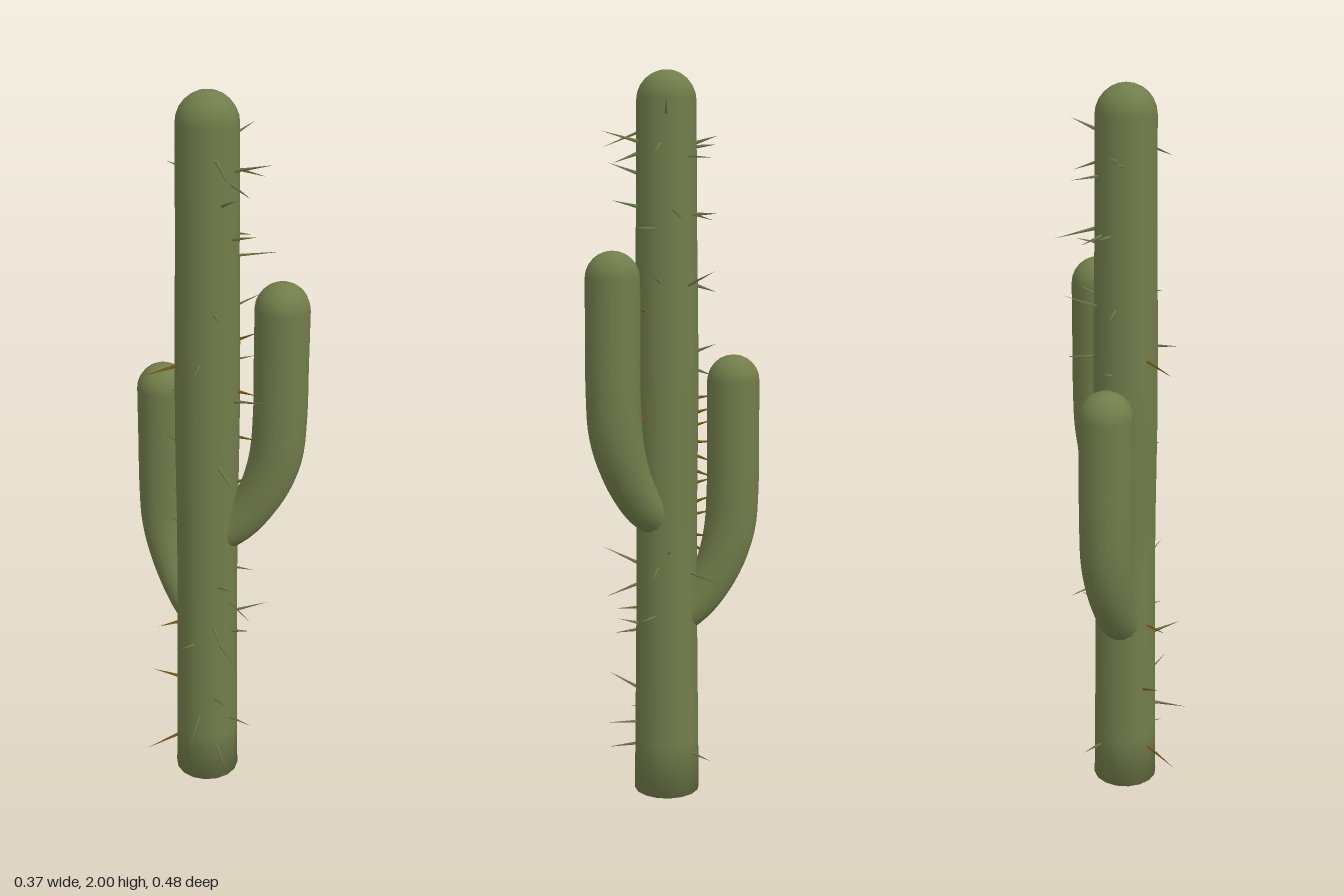
import * as THREE from 'three';
import { mergeGeometries } from 'three/addons/utils/BufferGeometryUtils.js';

const skin = new THREE.MeshStandardMaterial({ color: 0x717d4a });
skin.name = 'cactus green';
const gold = new THREE.MeshStandardMaterial({ color: 0x7a5c14 });
gold.name = 'dark gold';

const CENTRE = [-0.02, 0.015]; // trunk axis in x, z

function addMesh(parent, name, geometry, material) {
  const mesh = new THREE.Mesh(geometry, material);
  mesh.name = name;
  parent.add(mesh);
  return mesh;
}

// Slightly uneven column with a closed base and a rounded top
function trunk(parent) {
  const profile = [[0, 0], [0.092, 0], [0.09, 0.15], [0.086, 0.5], [0.085, 0.8],
    [0.088, 1.1], [0.087, 1.35], [0.083, 1.6], [0.081, 1.92]]
    .map(([r, y]) => new THREE.Vector2(r, y));
  for (let i = 1; i <= 6; i++) {
    const a = (i / 6) * Math.PI / 2;
    profile.push(new THREE.Vector2(0.081 * Math.cos(a), 1.92 + 0.08 * Math.sin(a)));
  }
  addMesh(parent, 'trunk', new THREE.LatheGeometry(profile, 16), skin);
}

// Upturned arm growing along local +z, thin at the root and domed at the tip
function arm(parent, name, yaw, reach, rootY) {
  const group = new THREE.Group();
  group.name = name;
  group.rotation.y = yaw;
  group.position.y = rootY;
  const path = new THREE.CatmullRomCurve3(
    [[0.1, 0], [0.45, 0.05], [0.76, 0.14], [0.95, 0.25], [1, 0.37], [1, 0.52], [1, 0.67]]
      .map(([s, y]) => new THREE.Vector3(0, y, s * reach)));
  const rows = 28, sides = 16, tipRadius = 0.073;
  const tube = new THREE.TubeGeometry(path, rows, 1, sides, false);
  const pos = tube.attributes.position;
  const v = new THREE.Vector3();
  for (let i = 0; i < pos.count; i++) {
    const t = Math.floor(i / (sides + 1)) / rows;
    const c = path.getPointAt(t);
    const r = THREE.MathUtils.lerp(0.056, tipRadius, THREE.MathUtils.smoothstep(t, 0.05, 0.5));
    v.fromBufferAttribute(pos, i).sub(c).multiplyScalar(r).add(c);
    pos.setXYZ(i, v.x, v.y, v.z);
  }
  addMesh(group, name + 'Stem', tube, skin);
  const tip = new THREE.SphereGeometry(tipRadius, sides, 6, 0, Math.PI * 2, 0, Math.PI / 2);
  addMesh(group, name + 'Tip', tip, skin).position.set(0, 0.67, reach);
  parent.add(group);
}

// Spines in vertical columns: [direction in degrees from +z towards +x, heights]
const GREEN_COLUMNS = [
  [-62, [0.22, 0.46, 1.31]],
  [-22, [0.12, 0.28, 0.46, 0.52, 0.65, 1.02, 1.45, 1.73, 1.84]],
  [10, [0.2, 0.49, 0.6, 1.2, 1.64, 1.78, 1.81]],
  [68, [0.52, 0.66, 1.44, 1.58, 1.8]],
  [92, [0.7, 1.28, 1.63, 1.88]],
  [137, [0.12, 0.64, 1.43, 1.62, 1.77]],
  [172, [1.25, 1.43, 1.62, 1.81]],
  [-168, [1.2, 1.8]],
];
const GOLD_COLUMNS = [
  [-120, [0.12, 0.31, 0.51, 1.29]],
  [40, [0.95, 1.08, 1.22, 1.36]],
  [172, [0.66, 0.74, 0.83, 0.92, 1.0, 1.08]],
  [-170, [0.7, 0.79, 0.88, 0.96, 1.04, 1.12]],
];

function spines(parent, name, columns, material) {
  const cones = [];
  const up = new THREE.Vector3(0, 1, 0);
  let n = 0;
  for (const [degrees, heights] of columns) {
    // Shorter where an arm stands close to the trunk
    const sheltered = Math.abs(degrees) > 165 || degrees === 40;
    for (const y of heights) {
      n++;
      const a = THREE.MathUtils.degToRad(degrees + 7 * Math.sin(n * 2.4));
      const out = new THREE.Vector3(Math.sin(a), 0, Math.cos(a));
      const length = sheltered ? 0.06 : 0.09 + 0.025 * Math.sin(n * 1.7);
      const cone = new THREE.ConeGeometry(0.005, length, 4, 1, true).translate(0, length / 2, 0);
      const dir = out.clone().setY(0.4 * Math.sin(n * 4.1)).normalize();
      cone.applyQuaternion(new THREE.Quaternion().setFromUnitVectors(up, dir));
      cone.translate(out.x * 0.08, y, out.z * 0.08);
      cones.push(cone);
    }
  }
  addMesh(parent, name, mergeGeometries(cones), material);
}

export function createModel() {
  const model = new THREE.Group();
  model.name = 'cactus';
  const plant = new THREE.Group();
  plant.name = 'plant';
  plant.position.set(CENTRE[0], 0, CENTRE[1]);
  trunk(plant);
  arm(plant, 'frontArm', Math.atan2(0.125, 0.152), 0.197, 0.78);
  arm(plant, 'backArm', Math.PI, 0.185, 0.497);
  spines(plant, 'greenSpines', GREEN_COLUMNS, skin);
  spines(plant, 'goldSpines', GOLD_COLUMNS, gold);
  model.add(plant);
  return model;
}
